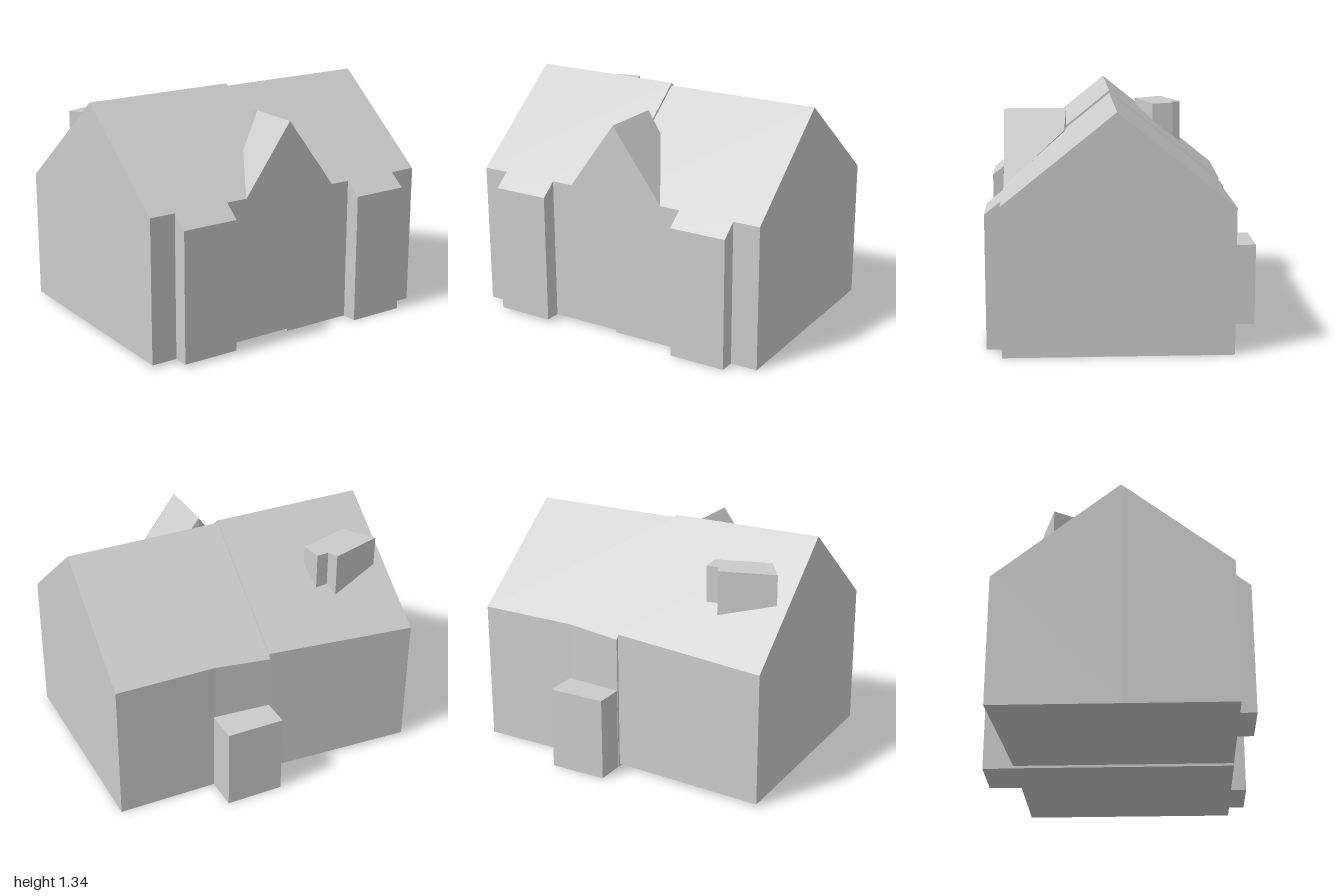
import * as THREE from 'three';

const RIDGE = 0.026; // z of the main ridge in the house's own axes
const SLOPE = 0.804;
const MID = -0.003; // wall shared by the two halves

const roofLeft = (x, z) => 1.337 - SLOPE * Math.abs(z - RIDGE);
const roofRight = (x, z) => 1.322 - SLOPE * Math.abs(z - RIDGE);
const gableRoof = (x) => 1.235 - 1.365 * Math.abs(x - MID);

export function createModel() {
  const house = new THREE.Group();
  house.name = 'house';
  const material = new THREE.MeshStandardMaterial({ color: 0xcccccc, flatShading: true });

  // Upright prism over a plan of [x, z] points; base and top are heights at (x, z)
  function prism(name, plan, base, top) {
    const shape = new THREE.Shape(plan.map(([x, z]) => new THREE.Vector2(x, z)));
    const source = new THREE.ExtrudeGeometry(shape, { depth: 1, bevelEnabled: false });
    source.rotateX(Math.PI / 2);
    const p = source.attributes.position;
    const positions = [];
    for (let i = 0; i < p.count; i += 3) {
      // leave out the hidden wall under the ridge
      if ([0, 1, 2].every((k) => Math.abs(p.getZ(i + k) - RIDGE) < 1e-4)) continue;
      for (let k = 0; k < 3; k++) {
        const x = p.getX(i + k), z = p.getZ(i + k);
        positions.push(x, p.getY(i + k) > -0.5 ? top(x, z) : base(x, z), z);
      }
    }
    const geometry = new THREE.BufferGeometry();
    geometry.setAttribute('position', new THREE.Float32BufferAttribute(positions, 3));
    geometry.computeVertexNormals();
    const mesh = new THREE.Mesh(geometry, material);
    mesh.name = name;
    house.add(mesh);
  }

  // Front of each half, with its projecting bay
  const frontPlan = (side, end) => [
    [MID, RIDGE], [MID, 0.642], [side * 0.418, 0.642], [side * 0.418, 0.733],
    [side * 0.75, 0.733], [side * 0.75, 0.643], [end, 0.643], [end, RIDGE],
  ];
  const floorLeft = () => 0.015, floorRight = () => 0;
  prism('rightHalfFront', frontPlan(-1, -0.901), floorLeft, roofLeft);
  prism('leftHalfFront', frontPlan(1, 0.908), floorRight, roofRight);

  // Back of each half
  prism('rightHalfBack', [[-0.901, RIDGE], [-0.901, -0.683], [MID, -0.629], [MID, RIDGE]],
    floorLeft, roofLeft);
  prism('leftHalfBack', [[MID, RIDGE], [MID, -0.643], [0.323, -0.616], [0.908, -0.612], [0.908, RIDGE]],
    floorRight, roofRight);

  // Front gable in two halves that reach back to different depths
  prism('gableRightHalf', [[-0.293, 0.642], [MID, 0.642], [MID, 0.335], [-0.146, 0.402]],
    roofLeft, gableRoof);
  prism('gableLeftHalf', [[MID, 0.642], [0.301, 0.642], [0.084, 0.292], [MID, 0.28]],
    roofRight, gableRoof);

  // Flat-topped dormer on the back slope
  prism('backDormer', [[-0.835, -0.348], [-0.525, -0.444], [-0.5, -0.385], [-0.428, -0.389],
    [-0.413, -0.264], [-0.721, -0.172]], roofLeft, () => 1.21);

  // Back porch
  prism('backPorch', [[0, -0.62], [0, -0.808], [0.333, -0.808], [0.333, -0.61]],
    floorRight, () => 0.475);

  // The house stands at an angle
  house.rotation.y = 0.161;
  const model = new THREE.Group();
  model.name = 'model';
  model.add(house);
  return model;
}
